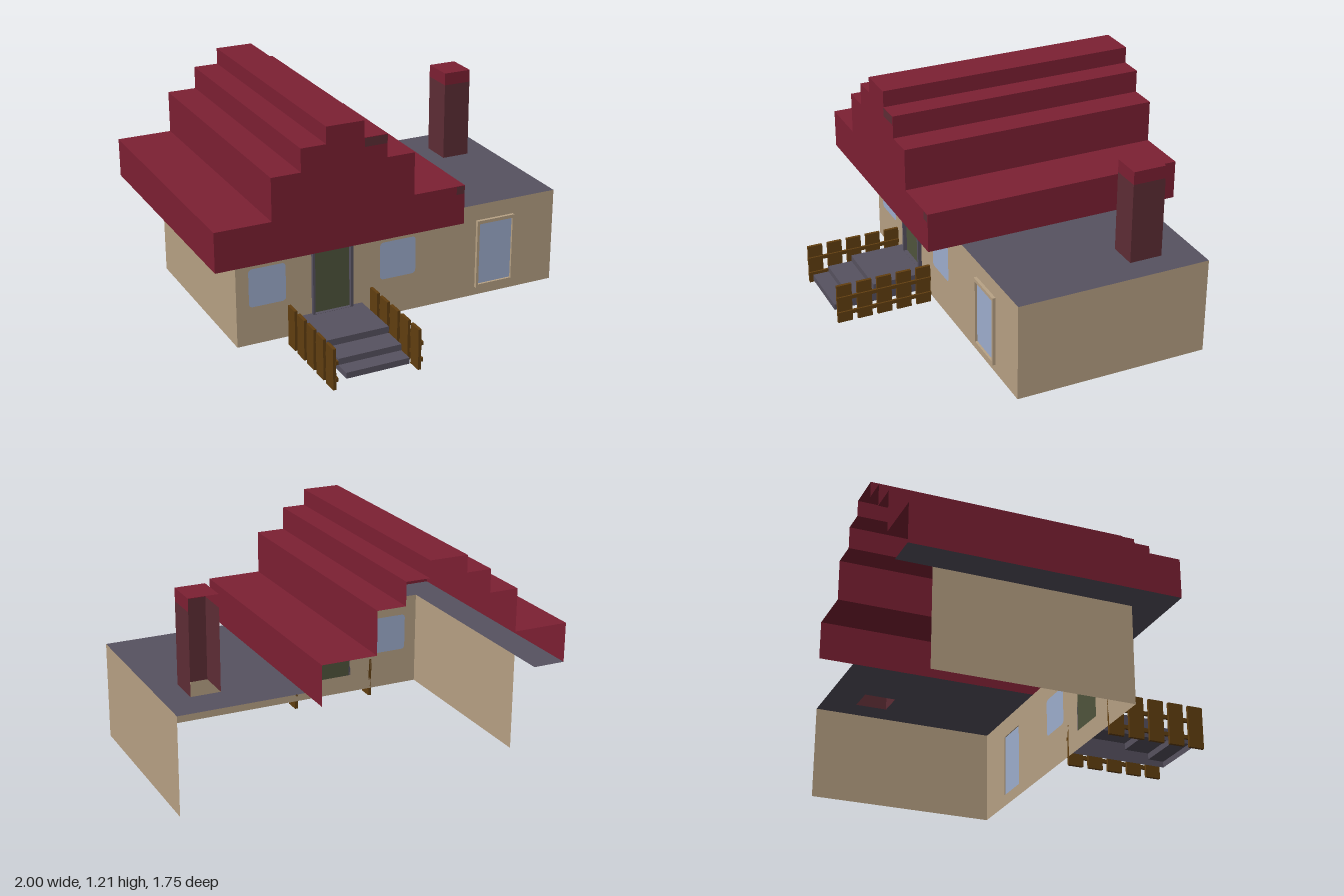
import * as THREE from 'three';

const material = (name, color) => {
  const m = new THREE.MeshStandardMaterial({ color, side: THREE.DoubleSide });
  m.name = name;
  return m;
};

// Open strip: a polyline in x,y carried from z0 to z1
function sweep(points, z0, z1) {
  const pos = [];
  for (let i = 0; i < points.length - 1; i++) {
    const [ax, ay] = points[i], [bx, by] = points[i + 1];
    pos.push(ax, ay, z1, bx, by, z1, bx, by, z0, ax, ay, z1, bx, by, z0, ax, ay, z0);
  }
  const g = new THREE.BufferGeometry();
  g.setAttribute('position', new THREE.Float32BufferAttribute(pos, 3));
  g.computeVertexNormals();
  return g;
}

// Upright strip: a plan polyline of x,-z carried from y0 to y1
const upright = (plan, y0, y1) => sweep(plan, y0, y1).rotateX(-Math.PI / 2);

const polygon = (points) => new THREE.Shape(points.map(([x, y]) => new THREE.Vector2(x, y)));
const rect = (x0, x1, y0, y1) => polygon([[x0, y0], [x1, y0], [x1, y1], [x0, y1]]);

function roundedRect(x0, x1, y0, y1, r) {
  const s = new THREE.Shape();
  s.absarc(x1 - r, y1 - r, r, 0, Math.PI / 2);
  s.absarc(x0 + r, y1 - r, r, Math.PI / 2, Math.PI);
  s.absarc(x0 + r, y0 + r, r, Math.PI, Math.PI * 1.5);
  s.absarc(x1 - r, y0 + r, r, Math.PI * 1.5, Math.PI * 2);
  s.closePath();
  return s;
}

const withHoles = (shape, ...holes) => {
  shape.holes.push(...holes);
  return shape;
};

export function createModel() {
  const house = new THREE.Group();
  house.name = 'house';

  const wall = material('wall beige', 0xb8a285);
  const red = material('roof red', 0x7d2033);
  const brick = material('chimney brown', 0x5e2d35);
  const slate = material('slate grey', 0x575260);
  const glass = material('window blue', 0x9fafcf);
  const olive = material('door olive', 0x50553d);
  const wood = material('fence wood', 0x623f10);

  const add = (name, geometry, mat, parent = house) => {
    const mesh = new THREE.Mesh(geometry, mat);
    mesh.name = name;
    parent.add(mesh);
    return mesh;
  };
  const flat = (name, shape, z, mat) => add(name, new THREE.ShapeGeometry(shape, 5).translate(0, 0, z), mat);
  const solid = (name, shape, z0, z1, mat) =>
    add(name, new THREE.ExtrudeGeometry(shape, { depth: z1 - z0, bevelEnabled: false }).translate(0, 0, z0), mat);
  const level = (name, shape, y, mat) =>
    add(name, new THREE.ShapeGeometry(shape).rotateX(-Math.PI / 2).translate(0, y, 0), mat);
  const box = (name, x0, x1, y0, y1, z0, z1, mat, parent) =>
    add(name, new THREE.BoxGeometry(x1 - x0, y1 - y0, z1 - z0)
      .translate((x0 + x1) / 2, (y0 + y1) / 2, (z0 + z1) / 2), mat, parent);

  // Walls: front with openings and two sides, open at the back
  const y0 = 0.045, eave = 0.563, front = 0.345, back = -0.69;
  const smallWindows = [[-0.76, -0.56], [-0.035, 0.17]];
  const pane = ([a, b]) => roundedRect(a, b, 0.25, 0.457, 0.02);
  flat('frontWall', withHoles(rect(-0.828, 1, y0, eave),
    rect(-0.41, -0.205, 0.145, 0.555), rect(0.54, 0.743, 0.107, 0.46),
    ...smallWindows.map(pane)), front, wall);
  for (const [name, x] of [['rightWall', -0.828], ['leftWall', 1]]) {
    add(name, upright([[x, -front], [x, -back]], y0, eave), wall);
  }

  // Windows
  for (const w of smallWindows) flat('smallWindow', pane(w), front, glass);
  flat('tallWindow', rect(0.54, 0.743, 0.107, 0.46), front + 0.005, glass);
  solid('tallWindowFrame', withHoles(rect(0.528, 0.75, 0.092, 0.475), rect(0.542, 0.741, 0.11, 0.457)),
    front, 0.362, wall);

  // Door
  flat('door', rect(-0.41, -0.205, 0.145, 0.555), front, olive);
  solid('doorFrame', withHoles(rect(-0.42, -0.195, 0.145, eave), rect(-0.408, -0.21, 0.146, 0.537)),
    front, 0.365, slate);

  // Stepped main roof, closed at the front and open behind
  const roofBack = -0.875, roofFront = 0.525;
  const steps = [
    [-1, eave], [-1, 0.772], [-0.705, 0.772], [-0.705, 0.996], [-0.55, 0.996], [-0.55, 1.117],
    [-0.417, 1.117], [-0.417, 1.205], [-0.215, 1.205], [-0.215, 1.117], [-0.09, 1.117],
    [-0.09, 0.996], [0.06, 0.996], [0.06, 0.772], [0.347, 0.772], [0.347, eave],
  ];
  add('mainRoof', sweep(steps, roofBack, roofFront), red);
  flat('roofFront', polygon(steps), roofFront, red);
  flat('roofPatchHigh', rect(-0.213, -0.092, 1.07, 1.115), roofFront + 0.002, brick);
  flat('roofPatchLow', rect(0.3, 0.345, 0.728, 0.77), roofFront + 0.002, brick);

  // Underside of the eaves
  level('eaveUnderside', polygon([[-1, -roofFront], [0.347, -roofFront], [0.347, -front],
    [-0.828, -front], [-0.828, -roofBack], [-1, -roofBack]]), eave, slate);

  // Flat roof over the side wing, open under the chimney
  const cx0 = 0.705, cx1 = 0.86, cz0 = -0.503, cz1 = -0.328;
  level('flatRoof', withHoles(rect(0.347, 1, -front, -back), rect(cx0, cx1, -cz1, -cz0)), eave, slate);

  // Chimney, three-sided with a cap
  const flue = [[cx1, -cz0], [cx1, -cz1], [cx0, -cz1], [cx0, -cz0]];
  add('chimneyShaft', upright(flue, eave, 0.99), brick);
  add('chimneyBand', upright(flue, 0.99, 1.058), red);
  level('chimneyCap', rect(cx0, cx1, -cz1, -cz0), 1.058, red);

  // Doorstep: profile in z,y swept across x, with closed sides
  const stair = [[front, 0.145], [0.645, 0.145], [0.645, 0.11], [0.78, 0.11],
    [0.78, 0.077], [0.867, 0.077], [0.867, y0]];
  const sx0 = -0.48, sx1 = -0.138;
  const treads = sweep(stair, -sx1, -sx0).rotateY(-Math.PI / 2).scale(1, 1, 1);
  add('doorstep', treads, slate);
  const sideShape = polygon([...stair, [front, y0]]);
  for (const x of [sx0, sx1]) {
    add('doorstepSide', new THREE.ShapeGeometry(sideShape).rotateY(-Math.PI / 2).translate(x, 0, 0), slate);
  }
  // Turn the treads so they lie between the two sides
  treads.computeBoundingBox();
  treads.translate(sx0 - treads.boundingBox.min.x, 0, 0);

  // Picket fences on both sides of the steps
  for (const x of [-0.551, -0.092]) {
    const fence = new THREE.Group();
    fence.name = 'fence';
    house.add(fence);
    for (let i = 0; i < 5; i++) {
      const z = front + i * 0.111;
      box('picket', x, x + 0.016, 0, 0.22, z, z + 0.081, wood, fence);
    }
    for (const y of [0.045, 0.135]) box('rail', x + 0.012, x + 0.025, y, y + 0.02, front, 0.875, wood, fence);
  }

  return house;
}
